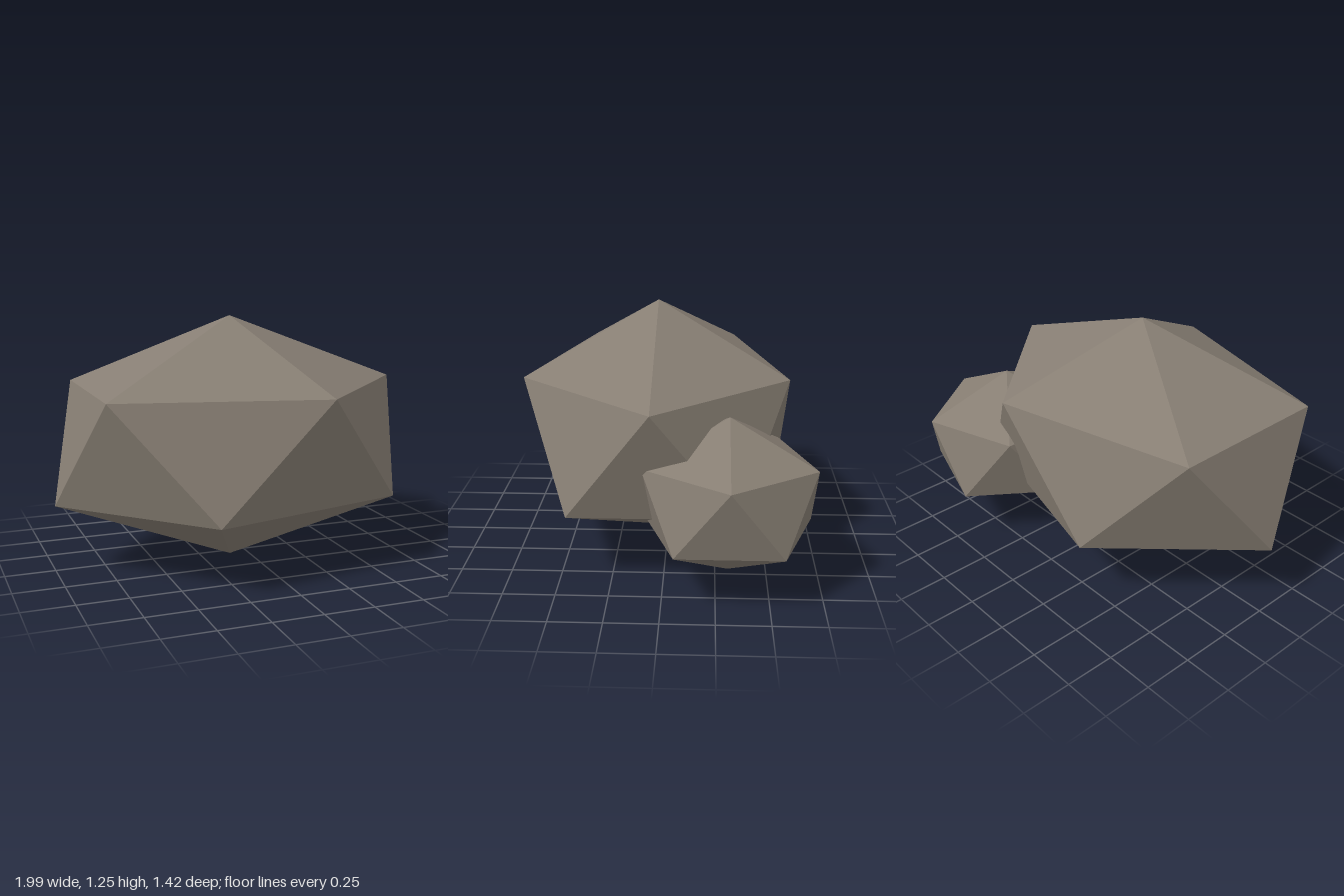
import * as THREE from 'three';

const stone = new THREE.MeshStandardMaterial({ color: 0x877e73, flatShading: true });
stone.name = 'warm grey stone';

// Twenty-sided boulder with a point straight up and an upper ring corner towards +x
function boulder(name, radii, centre) {
  const geometry = new THREE.IcosahedronGeometry(1, 0);
  geometry.rotateX(-Math.atan((1 + Math.sqrt(5)) / 2));
  geometry.rotateY(Math.PI / 2);
  geometry.scale(...radii);
  geometry.computeVertexNormals();
  const mesh = new THREE.Mesh(geometry, stone);
  mesh.name = name;
  mesh.position.set(...centre);
  return mesh;
}

export function createModel() {
  const group = new THREE.Group();
  group.name = 'rocks';
  group.add(
    boulder('largeRock', [1.012, 0.623, 0.776], [-0.095, 0.626, 0.05]),
    boulder('smallRock', [0.476, 0.383, 0.476], [0.569, 0.448, -0.309])
  );
  return group;
}
